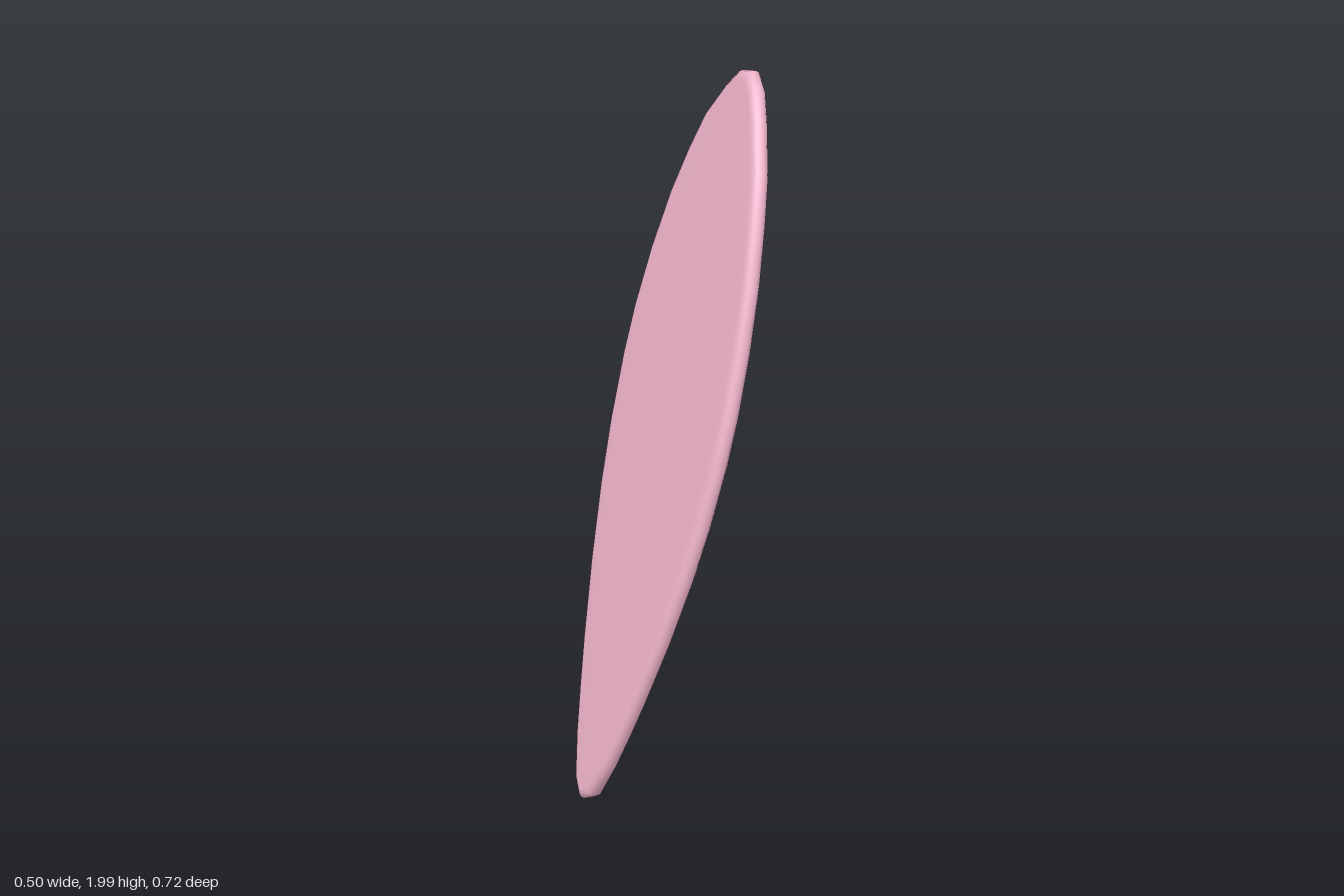
import * as THREE from 'three';

// Half outline of the petal from top tip to bottom tip: [half width, height]
const HALF = [
  [0, 2], [0.06, 1.975], [0.12, 1.91], [0.2, 1.8], [0.253, 1.68], [0.302, 1.54], [0.34, 1.37],
  [0.36, 1.2], [0.361, 1.07], [0.345, 0.89], [0.316, 0.73], [0.265, 0.54], [0.2, 0.35],
  [0.157, 0.24], [0.112, 0.135], [0.056, 0.033], [0, 0],
];
const LENGTH = 2.046;
const THICK = 0.023; // half thickness

// Rounded-edge section from the +x face to the -x face: [inset, x]
const RIM = [[0.028, 1], [0.013, 0.88], [0.004, 0.6], [0, 0.22], [0, -0.22], [0.004, -0.6], [0.013, -0.88], [0.028, -1]];

function petalGeometry() {
  const side = HALF.map(([w, y]) => new THREE.Vector2(w, (y - 1) * LENGTH / 2));
  const mirrored = side.slice(1, -1).reverse().map((p) => new THREE.Vector2(-p.x, p.y));
  const outline = [...side, ...mirrored];
  const n = outline.length;

  // Inward direction at each outline point
  const inward = outline.map((p, i) => {
    const d = outline[(i + 1) % n].clone().sub(outline[(i + n - 1) % n]).normalize();
    return new THREE.Vector2(d.y, -d.x);
  });

  // Flat inner rings on both faces, with the rim section between them
  const rings = [
    { scale: 0.45, inset: 0, x: 1 },
    { scale: 0.82, inset: 0, x: 1 },
    ...RIM.map(([inset, x]) => ({ scale: 1, inset, x })),
    { scale: 0.82, inset: 0, x: -1 },
    { scale: 0.45, inset: 0, x: -1 },
  ];

  const pos = [];
  const index = [];
  for (const r of rings) {
    outline.forEach((p, i) => {
      const q = p.clone().multiplyScalar(r.scale).addScaledVector(inward[i], r.inset);
      pos.push(r.x * THICK, q.y, q.x);
    });
  }
  const front = rings.length * n;
  const back = front + 1;
  pos.push(THICK, 0, 0, -THICK, 0, 0);

  const last = (rings.length - 1) * n;
  for (let i = 0; i < n; i++) {
    const j = (i + 1) % n;
    index.push(front, i, j, back, last + j, last + i);
    for (let k = 0; k < rings.length - 1; k++) {
      const a = k * n + i, d = k * n + j, b = a + n, c = d + n;
      index.push(a, b, c, a, c, d);
    }
  }

  const geo = new THREE.BufferGeometry();
  geo.setAttribute('position', new THREE.Float32BufferAttribute(pos, 3));
  geo.setIndex(index);
  geo.computeVertexNormals();
  return geo;
}

export function createModel() {
  const group = new THREE.Group();
  const petal = new THREE.Mesh(petalGeometry(), new THREE.MeshStandardMaterial({ color: 0xf0b4cb }));
  petal.name = 'petal';
  // Twisted slightly about its length, then leaned over towards +x
  petal.rotation.set(0, -0.09, -0.232, 'ZYX');
  petal.position.y = 1;
  group.add(petal);
  return group;
}
